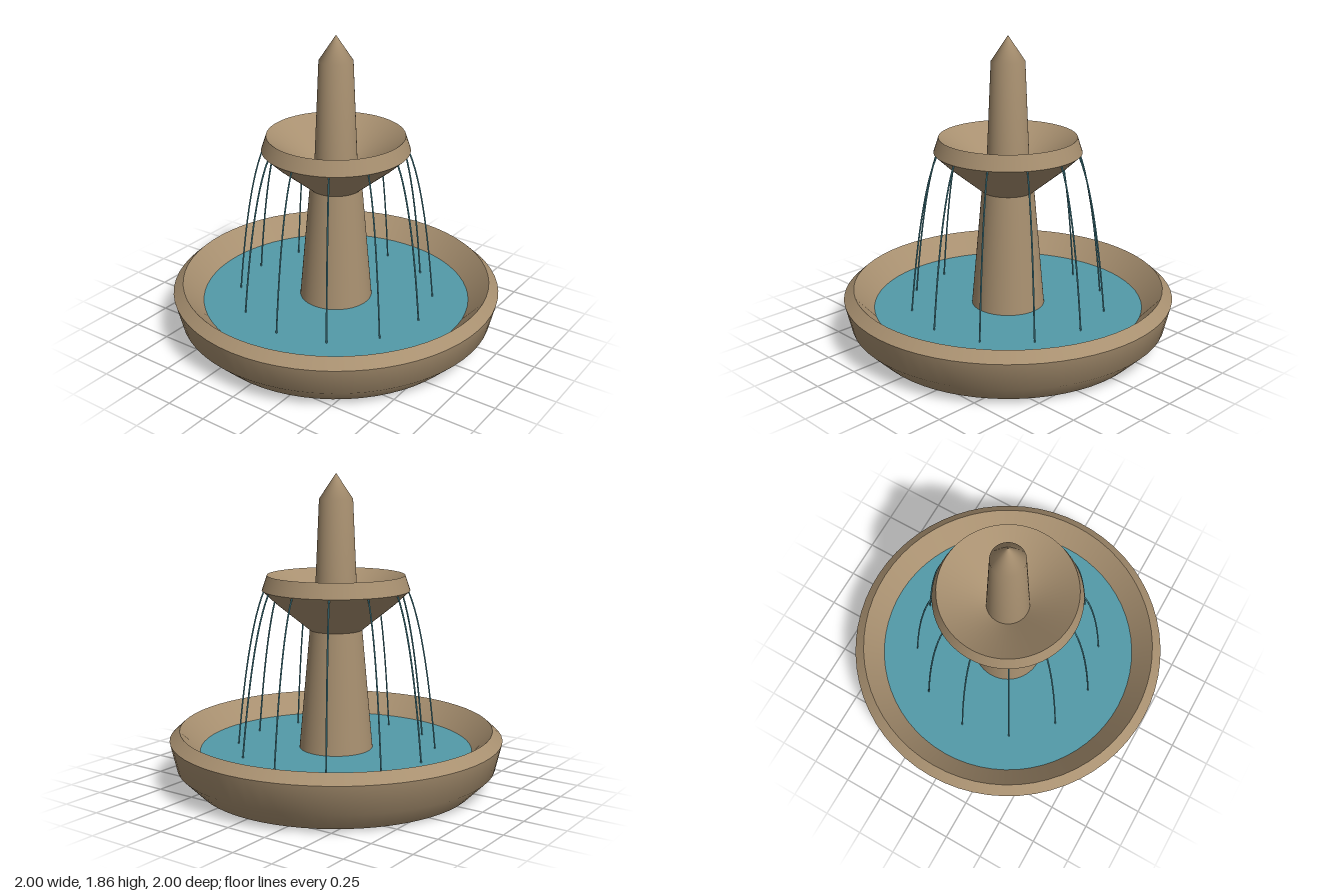
import * as THREE from 'three';

const SEGMENTS = 64;

// Turned part: each run of [radius, y] points is smooth, with sharp edges between runs
function turned(name, material, runs) {
  const group = new THREE.Group();
  group.name = name;
  runs.forEach((run, i) => {
    const points = run.map(([r, y]) => new THREE.Vector2(r, y));
    const mesh = new THREE.Mesh(new THREE.LatheGeometry(points, SEGMENTS), material);
    mesh.name = `${name}Surface${i + 1}`;
    group.add(mesh);
  });
  return group;
}

export function createModel() {
  const stone = new THREE.MeshStandardMaterial({ color: 0xa89070 });
  stone.name = 'sandstone';
  const water = new THREE.MeshStandardMaterial({ color: 0x539aa8 });
  water.name = 'water';

  const model = new THREE.Group();
  model.name = 'fountain';

  // Wide basin: underside, outer wall, lip and inner wall
  model.add(turned('basin', stone, [
    [[0, 0], [0.84, 0]],
    [[0.84, 0], [0.96, 0.12], [1, 0.29]],
    [[1, 0.29], [0.94, 0.345]],
    [[0.94, 0.345], [0.82, 0.215]],
  ]));

  // Pool surface
  const pool = new THREE.Mesh(new THREE.CircleGeometry(0.82, SEGMENTS), water);
  pool.name = 'poolWater';
  pool.rotation.x = -Math.PI / 2;
  pool.position.y = 0.215;
  model.add(pool);

  // Tapered pedestal
  model.add(turned('pedestal', stone, [
    [[0.222, 0.21], [0.157, 0.935]],
  ]));

  // Upper bowl: flared underside, rim and sloping inside
  model.add(turned('upperBowl', stone, [
    [[0.157, 0.935], [0.36, 1.1], [0.44, 1.175]],
    [[0.44, 1.175], [0.41, 1.265]],
    [[0.41, 1.265], [0.128, 1.05]],
  ]));

  // Pointed spire
  model.add(turned('spire', stone, [
    [[0.13, 1.04], [0.1, 1.71], [0, 1.86]],
  ]));

  // Twelve thin arcs of falling water
  const arc = new THREE.QuadraticBezierCurve3(
    new THREE.Vector3(0.425, 1.18, 0),
    new THREE.Vector3(0.53, 0.95, 0),
    new THREE.Vector3(0.6, 0.215, 0),
  );
  const streamGeometry = new THREE.TubeGeometry(arc, 16, 0.005, 6);
  const streams = new THREE.Group();
  streams.name = 'waterStreams';
  for (let i = 0; i < 12; i++) {
    const stream = new THREE.Mesh(streamGeometry, water);
    stream.name = `stream${i + 1}`;
    stream.rotation.y = (i * Math.PI) / 6;
    streams.add(stream);
  }
  model.add(streams);

  return model;
}
